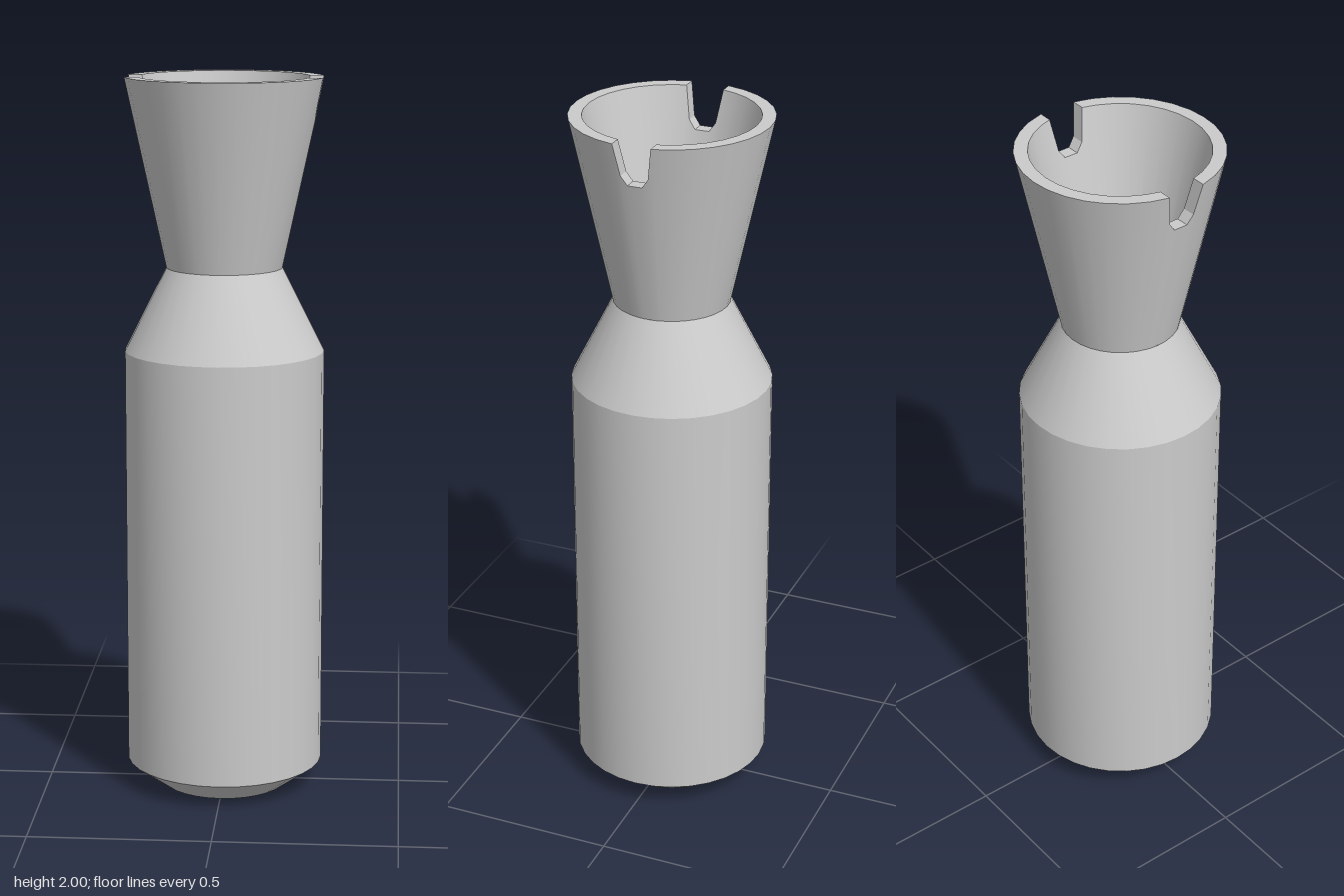
import * as THREE from 'three';
import { toCreasedNormals } from 'three/addons/utils/BufferGeometryUtils.js';

const SIDES = 32;
const NECK_Y = 1.48, TOP_Y = 2, APEX_Y = 0.92;

const material = () => new THREE.MeshStandardMaterial({ color: 0xcccccc, side: THREE.DoubleSide });

// Radii of the flared cup at a given height
const outerR = (y) => THREE.MathUtils.mapLinear(y, NECK_Y, TOP_Y, 0.16, 0.273);
const innerR = (y) => THREE.MathUtils.mapLinear(y, APEX_Y, TOP_Y, 0, 0.236);

// Point on a circle of radius r at height y
const ring = (r, a, y) => [r * Math.cos(a), y, r * Math.sin(a)];

// Flared hollow cup whose rim dips into two opposite slots
function cupGeometry() {
  const slot = [[-0.053, TOP_Y], [-0.038, 1.91], [-0.02, 1.885], [0.02, 1.885], [0.038, 1.91], [0.053, TOP_Y]];
  const columns = [];
  for (const turn of [0, Math.PI]) {
    for (const [z, y] of slot) {
      columns.push({ y, out: turn + Math.asin(z / outerR(y)), inn: turn + Math.asin(z / innerR(y)) });
    }
    for (let k = 2; k <= SIDES / 2 - 2; k++) {
      const a = turn + (k / SIDES) * Math.PI * 2;
      columns.push({ y: TOP_Y, out: a, inn: a });
    }
  }

  const pos = [];
  const tri = (a, b, c) => pos.push(...a, ...b, ...c);
  const quad = (a, b, c, d) => { tri(a, b, c); tri(a, c, d); };
  const apex = [0, APEX_Y, 0];
  columns.forEach((c, i) => {
    const n = columns[(i + 1) % columns.length];
    const oc = ring(outerR(c.y), c.out, c.y), on = ring(outerR(n.y), n.out, n.y);
    const ic = ring(innerR(c.y), c.inn, c.y), inx = ring(innerR(n.y), n.inn, n.y);
    const bc = ring(outerR(NECK_Y), c.out, NECK_Y), bn = ring(outerR(NECK_Y), n.out, NECK_Y);
    quad(bn, bc, oc, on);   // outside wall
    quad(oc, ic, inx, on);  // rim and slot walls
    tri(apex, inx, ic);     // conical hollow
  });
  const geo = new THREE.BufferGeometry();
  geo.setAttribute('position', new THREE.Float32BufferAttribute(pos, 3));
  return toCreasedNormals(geo, 0.45);
}

export function createModel() {
  const group = new THREE.Group();
  group.name = 'slottedPlug';

  // Cylindrical body with chamfered foot and tapered shoulder
  const profile = [[0, 0], [0.18, 0], [0.276, 0.07], [0.276, 1.25], [0.16, NECK_Y]]
    .map(([x, y]) => new THREE.Vector2(x, y));
  const body = new THREE.Mesh(toCreasedNormals(new THREE.LatheGeometry(profile, SIDES), 0.45), material());
  body.name = 'body';
  group.add(body);

  const cup = new THREE.Mesh(cupGeometry(), material());
  cup.name = 'slottedCup';
  group.add(cup);

  return group;
}
